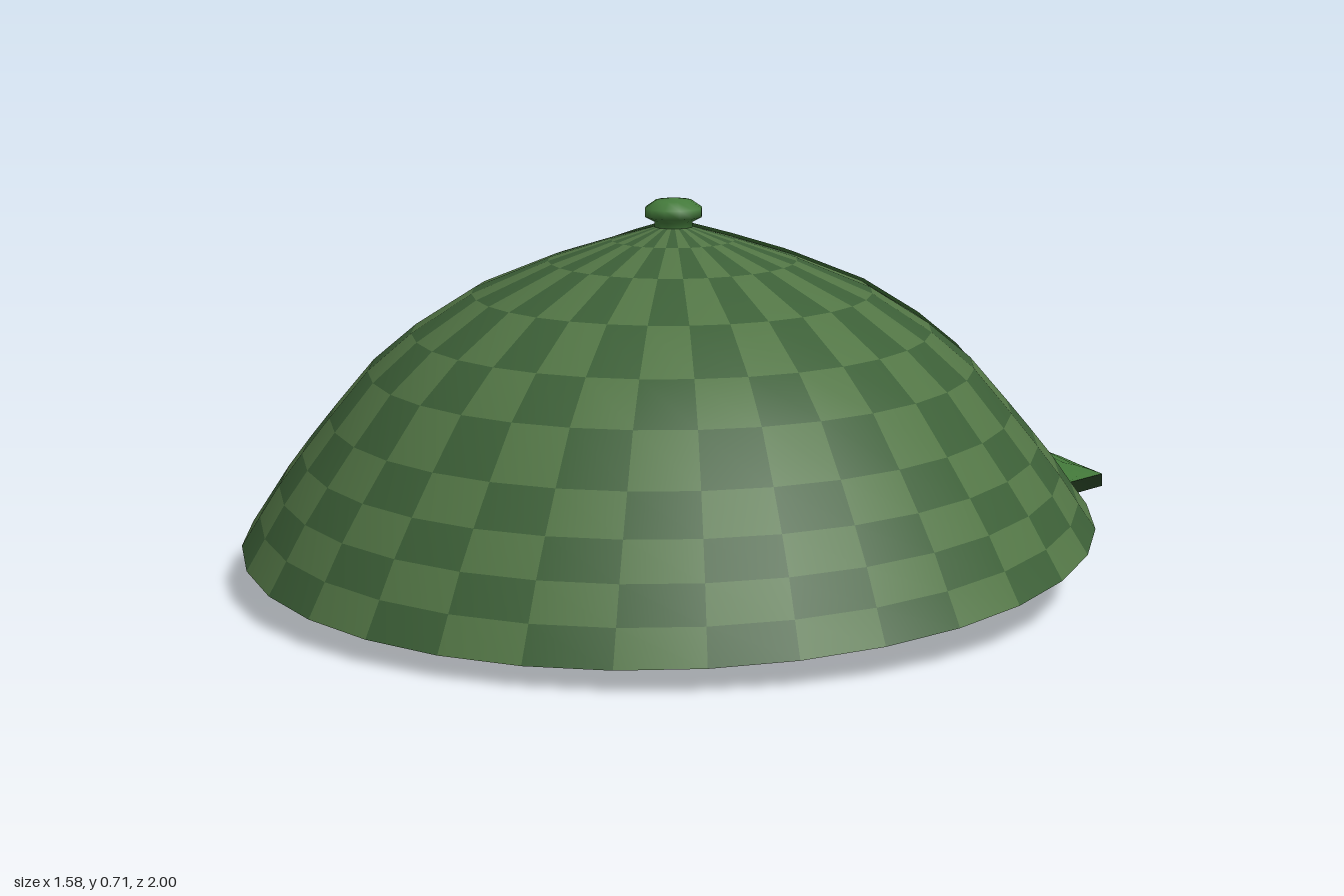
import * as THREE from 'three';

const SIDES = 32, ROWS = 10, STEP = (Math.PI * 2) / SIDES;

// Crown profile: radius and height of each ring, apex to rim
const RADII = [0, 0.115, 0.23, 0.37, 0.48, 0.56, 0.63, 0.68, 0.722, 0.757, 0.79];
const HEIGHTS = [0.665, 0.632, 0.595, 0.537, 0.467, 0.4, 0.317, 0.255, 0.2, 0.147, 0.098];

const sample = (list, row) => {
  const i = Math.min(Math.floor(row), list.length - 2);
  return THREE.MathUtils.lerp(list[i], list[i + 1], row - i);
};

// Point on the crown; the rings shift and tilt towards the rim
function crownAt(angle, row, lift = 0) {
  const t = row / ROWS, r = sample(RADII, row);
  const s = Math.sin(angle), c = Math.cos(angle);
  return new THREE.Vector3(
    s * (r + 0.7 * lift),
    sample(HEIGHTS, row) - 0.076 * t * t * r * c + 0.7 * lift,
    0.178 + 0.032 * t + c * (r + 0.7 * lift)
  );
}

const material = (color) => new THREE.MeshStandardMaterial({ color, side: THREE.DoubleSide });

// Smooth surface from a rule at(u, v); keep(u, v) selects cells
function surface(nu, nv, at, closed = false) {
  const pos = [], all = [], cells = [];
  const cols = closed ? nu : nu + 1;
  for (let v = 0; v <= nv; v++) {
    for (let u = 0; u < cols; u++) pos.push(...at(u, v).toArray());
  }
  for (let v = 0; v < nv; v++) {
    for (let u = 0; u < nu; u++) {
      const a = v * cols + u, d = v * cols + ((u + 1) % cols);
      const tris = [a, a + cols, d + cols, a, d + cols, d];
      all.push(...tris);
      cells.push({ u, v, tris });
    }
  }
  const geometry = new THREE.BufferGeometry();
  geometry.setAttribute('position', new THREE.Float32BufferAttribute(pos, 3));
  geometry.setIndex(all);
  geometry.computeVertexNormals();
  return { geometry, cells };
}

function add(parent, name, geometry, mat) {
  const mesh = new THREE.Mesh(geometry, mat);
  mesh.name = name;
  parent.add(mesh);
  return mesh;
}

// Thin badge shape (x across, y in crown rows) wrapped onto the back of the crown
function wrapped(shape, depth, lift) {
  const g = new THREE.ExtrudeGeometry(shape, { depth, bevelEnabled: false, curveSegments: 8 });
  const p = g.attributes.position;
  for (let i = 0; i < p.count; i++) {
    const row = p.getY(i);
    const q = crownAt(Math.PI - p.getX(i) / sample(RADII, row), row, lift + p.getZ(i));
    p.setXYZ(i, q.x, q.y, q.z);
  }
  g.computeVertexNormals();
  return g;
}

const polygon = (points) => new THREE.Shape(points.map(([x, y]) => new THREE.Vector2(x, y)));

export function createModel() {
  const cap = new THREE.Group();
  cap.name = 'cap';
  const green = material(0x447a3b), darkGreen = material(0x1a2e18);

  // Checked crown: light and dark cells share one set of smooth normals
  const crown = new THREE.Group();
  crown.name = 'crown';
  cap.add(crown);
  const { geometry, cells } = surface(SIDES, ROWS, (u, v) => crownAt(u * STEP, v), true);
  [['lightChecks', 0x527545], ['darkChecks', 0x3c5f37]].forEach(([name, color], parity) => {
    const part = geometry.clone();
    part.setIndex(cells.filter(({ u, v }) => (u + v) % 2 === parity).flatMap((cell) => cell.tris));
    add(crown, name, part, material(color));
  });

  // Plain panel over the brim
  const panelAngle = (u) => Math.PI + (u - 5) * STEP;
  add(cap, 'panel', surface(10, ROWS, (u, v) => crownAt(panelAngle(u), v, 0.006)).geometry, green);

  // Brim: lofted from the rim to a polygonal outer edge lying in a sloped plane
  const OUTER = [[0, -1], [0.235, -0.96], [0.44, -0.85], [0.6, -0.68], [0.69, -0.47], [0.672, -0.22]];
  const THICK = 0.025, SPAN = 6;
  const brimAt = (u, v, drop = 0) => {
    const k = u - 5, t = v / SPAN;
    const [x, z] = OUTER[Math.abs(k)];
    const outer = new THREE.Vector3(-Math.sign(k) * x, THICK + (z + 1) * 0.137, z);
    const inner = crownAt(panelAngle(u), ROWS, -0.004);
    const arch = 0.06 * inner.distanceTo(outer) * Math.sin(Math.PI * t);
    const p = inner.lerp(outer, t);
    p.y += arch - drop;
    return p;
  };
  const brim = new THREE.Group();
  brim.name = 'brim';
  cap.add(brim);
  add(brim, 'brimTop', surface(10, SPAN, (u, v) => brimAt(u, v)).geometry, green);
  add(brim, 'brimEdge', surface(10, 1, (u, v) => brimAt(u, SPAN, v * THICK)).geometry, darkGreen);
  add(brim, 'brimUnderside', surface(10, SPAN, (u, v) => brimAt(u, SPAN - v, THICK)).geometry, darkGreen);

  // Button on the apex
  const buttonProfile = [[0.036, 0.645], [0.036, 0.665], [0.054, 0.674], [0.054, 0.69], [0.034, 0.704], [0, 0.709]];
  const button = add(cap, 'button',
    new THREE.LatheGeometry(buttonProfile.map(([x, y]) => new THREE.Vector2(x, y)), 12), green);
  button.position.z = 0.178;

  // Sprout badge: twin leaves, bent stem and a mound of soil
  const sprout = new THREE.Group();
  sprout.name = 'sproutBadge';
  cap.add(sprout);
  const half = [[0.045, 4.95], [0.078, 4.6], [0.07, 4.2], [0.04, 3.88]];
  const leaves = polygon([[0, 5.1], ...half, [0, 4.15], ...half.map(([x, y]) => [-x, y]).reverse()]);
  add(sprout, 'leaves', wrapped(leaves, 0.008, 0.012), material(0xa8bf78));

  const stemLine = [[0.004, 6.8], [0.008, 6.2], [0.004, 5.7], [-0.006, 5.2], [-0.006, 4.7]];
  const stem = polygon([
    ...stemLine.map(([x, y]) => [x - 0.009, y]),
    ...stemLine.map(([x, y]) => [x + 0.009, y]).reverse()
  ]);
  add(sprout, 'stem', wrapped(stem, 0.008, 0.009), material(0x8c9a6a));

  const soil = new THREE.Shape().absellipse(0, 6.85, 0.083, 0.36, 0, Math.PI * 2);
  add(sprout, 'soil', wrapped(soil, 0.014, 0.006), material(0x7a4f33));

  // Dark tag inside the rim, opposite the brim
  add(cap, 'innerTag',
    surface(4, 1, (u, v) => crownAt((u - 2) * STEP * 0.5, 9 + v * 0.9, -0.01)).geometry, material(0x222222));

  return cap;
}
